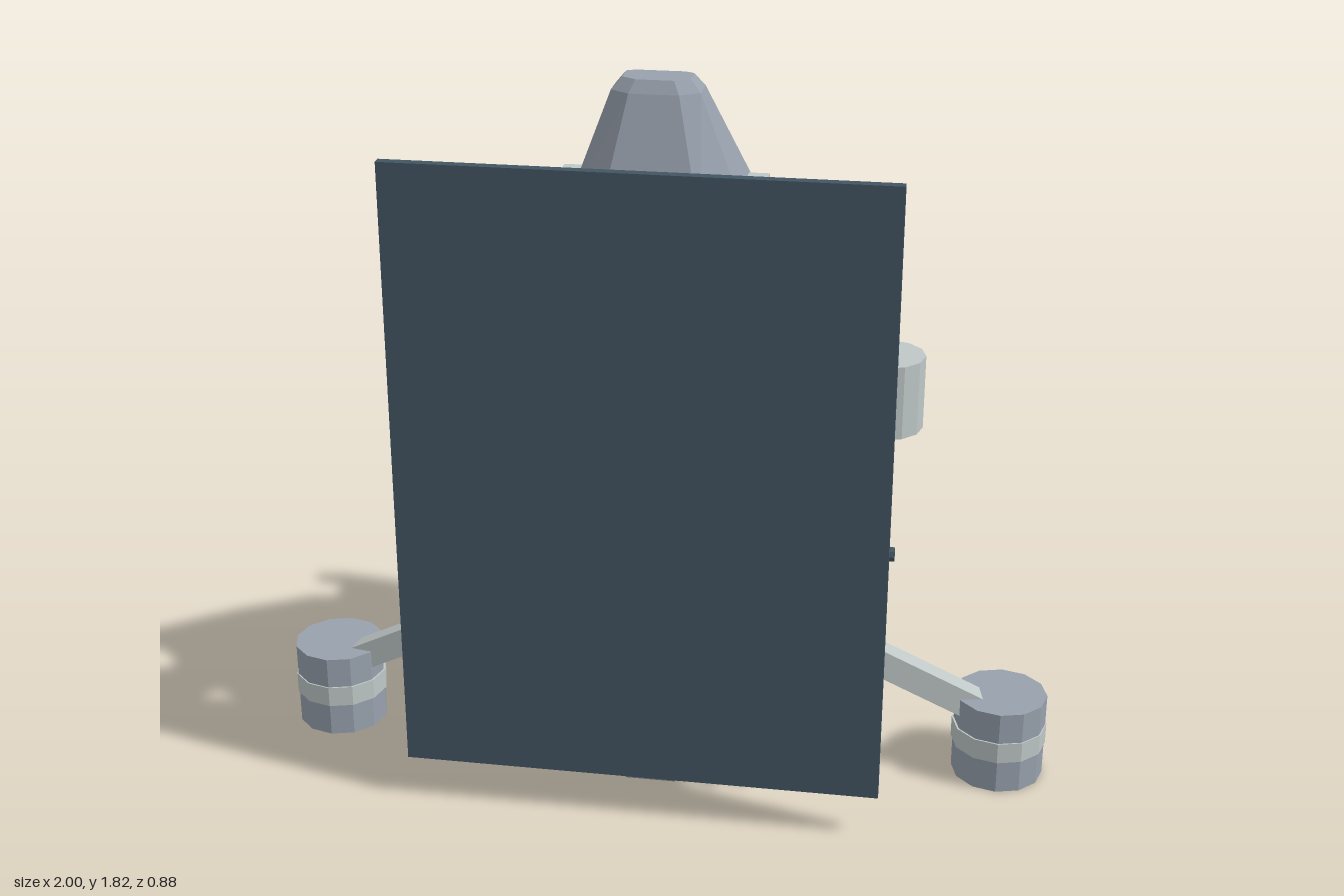
import * as THREE from 'three';

const mat = (name, color) => {
  const m = new THREE.MeshStandardMaterial({ color, flatShading: true });
  m.name = name;
  return m;
};

export function createModel() {
  const root = new THREE.Group();
  root.name = 'lander';
  const hull = mat('hull grey', 0x98a1ad);
  const light = mat('pale grey', 0xbfc7c7);
  const slate = mat('dark slate', 0x435563);
  const navy = mat('spine slate', 0x394c5c);
  const blue = mat('strut blue', 0x4a82b4);
  const cyan = mat('cyan trim', 0x3fabcf);

  const add = (name, geo, m, x = 0, y = 0, z = 0) => {
    const mesh = new THREE.Mesh(geo, m);
    mesh.name = name;
    mesh.position.set(x, y, z);
    root.add(mesh);
    return mesh;
  };
  // Box given by its limits on each axis
  const box = (name, m, x0, x1, y0, y1, z0, z1) =>
    add(name, new THREE.BoxGeometry(Math.abs(x1 - x0), y1 - y0, z1 - z0), m,
      (x0 + x1) / 2, (y0 + y1) / 2, (z0 + z1) / 2);
  // Square bar between two points
  const beam = (name, m, a, b, w, h = w) => {
    const p = new THREE.Vector3(...a), q = new THREE.Vector3(...b);
    const mesh = add(name, new THREE.BoxGeometry(w, h, p.distanceTo(q)), m);
    mesh.position.copy(p).add(q).multiplyScalar(0.5);
    mesh.lookAt(q);
    return mesh;
  };

  // Hull: chamfered sections, each [y, half width, back z, front z]
  const levels = [
    [0, 0.11, 0.02, 0.27], [0.02, 0.135, 0, 0.29], [0.25, 0.31, -0.2, 0.37],
    [0.63, 0.41, -0.41, 0.365], [1.09, 0.37, -0.33, 0.37], [1.5, 0.215, -0.115, 0.275],
    [1.79, 0.105, 0.075, 0.195], [1.82, 0.08, 0.09, 0.18],
  ];
  const pos = [], idx = [], n = 8;
  for (const [y, w, b, f] of levels) {
    const d = f - b, bz = b + d * 0.13, fz = f - d * 0.25;
    const half = [[w * 0.56, f], [w, fz], [w, bz], [w * 0.73, b]];
    for (const [x, z] of half) pos.push(x, y, z);
    for (const [x, z] of half.reverse()) pos.push(-x, y, z);
  }
  for (let l = 0; l < levels.length - 1; l++)
    for (let i = 0; i < n; i++) {
      const a = l * n + i, b = l * n + (i + 1) % n;
      idx.push(a, b, b + n, a, b + n, a + n);
    }
  const top = (levels.length - 1) * n;
  for (let i = 1; i < n - 1; i++) {
    idx.push(0, i + 1, i);
    idx.push(top, top + i, top + i + 1);
  }
  const hullGeo = new THREE.BufferGeometry();
  hullGeo.setAttribute('position', new THREE.Float32BufferAttribute(pos, 3));
  hullGeo.setIndex(idx);
  const flat = hullGeo.toNonIndexed();
  flat.computeVertexNormals();
  add('hull', flat, hull);

  // Front shield with its mount and trim
  box('shield', slate, -0.593, 0.593, 0.115, 1.675, 0.415, 0.44);
  box('shieldTrim', cyan, -0.28, 0.28, 0.22, 1.19, 0.398, 0.416);
  box('shieldMount', hull, -0.27, 0.27, 0.2, 1.22, 0.32, 0.4);

  // Rear spine: two extruded side profiles of [z, y]
  const spine = (name, w, pts) => {
    const shape = new THREE.Shape(pts.map(([z, y]) => new THREE.Vector2(-z, y)));
    const geo = new THREE.ExtrudeGeometry(shape, { depth: w, bevelEnabled: false });
    geo.translate(0, 0, -w / 2);
    geo.rotateY(Math.PI / 2);
    add(name, geo, navy);
  };
  spine('upperSpine', 0.11, [[-0.25, 1.15], [-0.25, 0.6], [-0.415, 0.6], [-0.4, 0.9], [-0.37, 1.15]]);
  spine('lowerSpine', 0.15, [[-0.15, 0.15], [-0.28, 0.15], [-0.415, 0.56], [-0.415, 0.63], [-0.3, 0.63]]);
  for (const [y0, y1, z] of [[0.9, 1.04, -0.42], [0.6, 0.74, -0.44], [0.3, 0.45, -0.385]])
    box('spineRib', navy, -0.018, 0.018, y0, y1, z, z + 0.06);

  // Rear dish on its stem
  const disc = (name, r, d, m, z, sides) =>
    add(name, new THREE.CylinderGeometry(r, r, d, sides).rotateX(Math.PI / 2), m, 0, 1.265, z);
  disc('dishStem', 0.06, 0.2, hull, -0.29, 8);
  disc('dishRim', 0.135, 0.025, cyan, -0.392, 16);
  disc('dishFace', 0.12, 0.008, light, -0.407, 16);

  // Everything repeated on both sides
  for (const s of [1, -1]) {
    // Landing pods
    add('pod', new THREE.CylinderGeometry(0.117, 0.117, 0.225, 12), hull, s * 0.88, 0.1125, 0.07);
    add('podBand', new THREE.CylinderGeometry(0.121, 0.121, 0.055, 12), light, s * 0.879, 0.115, 0.07);
    box('podPlate', blue, s * 0.8, s * 0.96, 0.085, 0.14, -0.064, -0.045);
    beam('podArm', light, [s * 0.34, 0.46, 0.175], [s * 0.82, 0.19, 0.085], 0.06, 0.07);

    // Upper tanks with diagonal struts
    add('tank', new THREE.CylinderGeometry(0.09, 0.09, 0.18, 12), light, s * 0.56, 1.12, 0.25);
    beam('tankStrut', navy, [s * 0.34, 1.08, 0.16], [s * 0.57, 1.1, 0.4], 0.04, 0.05);

    // Side panel and its arm to the hinge
    box('sidePanel', light, s * 0.37, s * 0.435, 0.49, 0.71, -0.005, 0.155);
    beam('hingeArm', light, [s * 0.42, 0.72, 0.03], [s * 0.5, 0.8, 0.27], 0.03, 0.06);
    beam('hingeBrace', hull, [s * 0.4, 0.78, 0.2], [s * 0.56, 0.83, 0.4], 0.035, 0.04);

    // Hinge ring with blocks
    const ring = add('hingeRing', new THREE.TorusGeometry(0.055, 0.013, 6, 12), hull, s * 0.52, 0.71, 0.29);
    ring.rotation.x = Math.PI / 2;
    add('hingePin', new THREE.CylinderGeometry(0.018, 0.018, 0.13, 8).rotateZ(Math.PI / 2), slate, s * 0.535, 0.71, 0.29);
    for (const [y, z] of [[0.75, 0.26], [0.67, 0.25], [0.64, 0.3]])
      box('hingeBlock', hull, s * 0.46, s * 0.53, y - 0.02, y + 0.02, z - 0.035, z + 0.035);
    box('hingeMount', navy, s * 0.5, s * 0.56, 0.71, 0.78, 0.3, 0.415);

    // Bent blue frame with pale clips
    const knee = [s * 0.55, 0.71, 0.3];
    beam('upperFrame', blue, [s * 0.33, 1.02, 0.3], knee, 0.022);
    beam('lowerFrame', blue, [s * 0.3, 0.18, 0.3], knee, 0.022);
    for (const y of [0.335, 0.44, 0.52, 0.6]) {
      const x = 0.3 + 0.25 * (y - 0.18) / 0.53;
      const h = y < 0.4 ? 0.055 : 0.032;
      box('frameClip', light, s * (x - 0.02), s * (x + 0.02), y - h, y + h, 0.277, 0.315);
    }

    // Thin hull plates
    box('upperPlate', light, s * 0.2, s * 0.25, 1.41, 1.56, 0.01, 0.13);
    box('midPlate', light, s * 0.35, s * 0.397, 0.93, 1.15, 0.058, 0.09);
    box('lowPlate', light, s * 0.28, s * 0.3, 0.04, 0.24, 0.06, 0.1);
    box('shoulderPlate', hull, s * 0.28, s * 0.335, 1.2, 1.36, 0.18, 0.262);
    box('waistPlate', hull, s * 0.35, s * 0.41, 0.7, 0.87, 0.18, 0.262);
    box('footPlate', hull, s * 0.24, s * 0.272, 0.025, 0.18, 0.18, 0.262);
  }
  return root;
}
